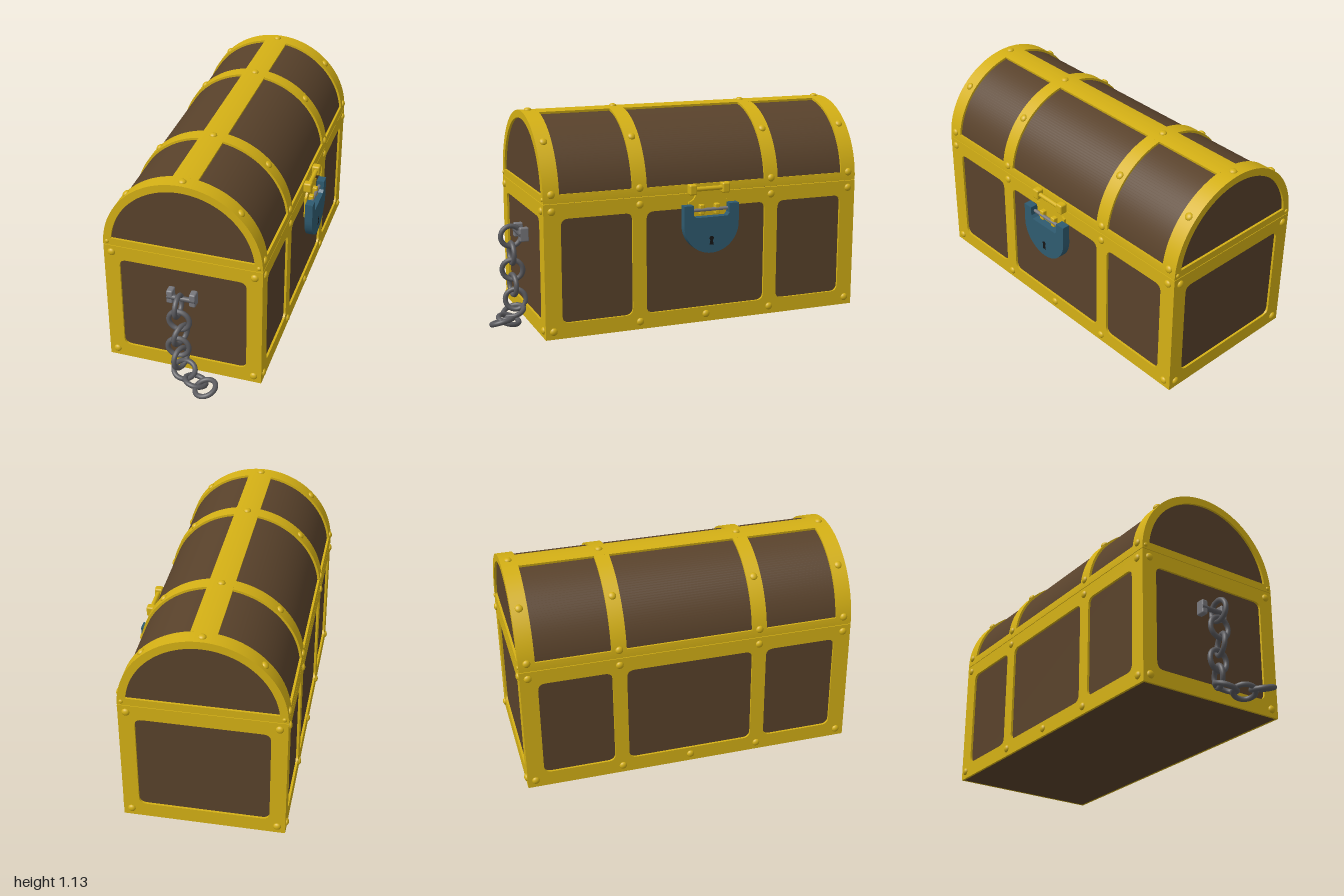
import * as THREE from 'three';
import { toCreasedNormals } from 'three/addons/utils/BufferGeometryUtils.js';
import { RoundedBoxGeometry } from 'three/addons/geometries/RoundedBoxGeometry.js';

const mat = (color) => new THREE.MeshStandardMaterial({ color });
const gold = mat(0xd4b015), wood = mat(0x59422b), blue = mat(0x2f5b70);
const iron = mat(0x5a5a5e), plateGrey = mat(0x77777c), dark = mat(0x151515);

const W = 0.414, L = 0.879, T = 0.012;      // half width, half length, strap thickness
const Y0 = 0.012, SEAM = 0.713, LID = 0.716;
const BANDS = [-0.837, -0.371, 0.371, 0.837];

function add(parent, name, geo, material, x = 0, y = 0, z = 0) {
  const m = new THREE.Mesh(geo, material);
  m.name = name;
  m.position.set(x, y, z);
  parent.add(m);
  return m;
}

const extrude = (shape, depth, curveSegments = 24) => toCreasedNormals(
  new THREE.ExtrudeGeometry(shape, { depth, bevelEnabled: false, curveSegments }), 0.45);

function roundRect(path, x0, y0, x1, y1, r) {
  path.moveTo(x0 + r, y0);
  path.lineTo(x1 - r, y0).quadraticCurveTo(x1, y0, x1, y0 + r);
  path.lineTo(x1, y1 - r).quadraticCurveTo(x1, y1, x1 - r, y1);
  path.lineTo(x0 + r, y1).quadraticCurveTo(x0, y1, x0, y1 - r);
  path.lineTo(x0, y0 + r).quadraticCurveTo(x0, y0, x0 + r, y0);
  return path;
}

// Flat wall strap with rounded windows, given as [from, to] spans
function frame(halfWidth, windows) {
  const s = new THREE.Shape();
  s.moveTo(-halfWidth, Y0);
  s.lineTo(halfWidth, Y0).lineTo(halfWidth, SEAM).lineTo(-halfWidth, SEAM).closePath();
  for (const [a, b] of windows) s.holes.push(roundRect(new THREE.Path(), a, 0.093, b, 0.635, 0.04));
  return extrude(s, T, 6);
}

// Curved strap over the lid
function arch(z0, z1, a0, a1) {
  const s = new THREE.Shape();
  s.absarc(0, 0, W, a0, a1, false);
  s.absarc(0, 0, W - 0.013, a1, a0, true);
  s.closePath();
  return extrude(s, z1 - z0, 36).translate(0, 0, z0);
}

const Z = new THREE.Vector3(0, 0, 1);
function rivet(parent, p, normal, r = 0.02) {
  const m = add(parent, 'rivet', new THREE.SphereGeometry(r, 16, 10), gold, ...p);
  m.quaternion.setFromUnitVectors(Z, new THREE.Vector3(...normal).normalize());
  m.scale.z = 0.65;
}

function makeBody() {
  const g = new THREE.Group();
  g.name = 'body';
  const h = SEAM - Y0;
  add(g, 'woodenBox', new THREE.BoxGeometry(2 * (W - T), h, 2 * (L - T)), wood, 0, Y0 + h / 2, 0);
  for (const s of [-1, 1]) {
    const side = add(g, 'sideFrame', frame(L, [[-0.79, -0.41], [-0.335, 0.335], [0.41, 0.79]]), gold, s * (W - T));
    side.rotation.y = s * Math.PI / 2;
    const end = add(g, 'endFrame', frame(W - T, [[-0.333, 0.333]]), gold, 0, 0, s * (L - T));
    if (s < 0) end.rotation.y = Math.PI;
    for (const z of BANDS) for (const y of [0.053, 0.675]) rivet(g, [s * W, y, z], [s, 0, 0]);
    rivet(g, [s * W, 0.053, 0], [s, 0, 0]);
    for (const x of [-0.373, 0.373]) for (const y of [0.053, 0.675]) rivet(g, [x, y, s * L], [0, 0, s]);
  }
  return g;
}

function makeLid() {
  const g = new THREE.Group();
  g.name = 'lid';
  g.position.y = LID;
  const core = new THREE.Shape();
  core.absarc(0, 0, W - T, 0, Math.PI, false);
  core.closePath();
  add(g, 'woodenVault', extrude(core, 2 * (L - T), 48), wood, 0, 0, -(L - T));
  // Straps along and across the vault
  for (const z of BANDS) {
    const hw = Math.abs(z) > 0.5 ? 0.042 : 0.039;
    add(g, 'archStrap', arch(z - hw, z + hw, 0, Math.PI), gold);
    for (const a of [0.109, Math.PI / 4, Math.PI / 2, Math.PI * 0.75, Math.PI - 0.109]) {
      const c = Math.cos(a), s = Math.sin(a);
      rivet(g, [W * c, W * s, z], [c, s, 0]);
    }
  }
  const ends = L - 0.08;
  for (const [a0, a1] of [[0, 0.107], [Math.PI / 2 - 0.157, Math.PI / 2 + 0.157], [Math.PI - 0.107, Math.PI]])
    add(g, 'lengthStrap', arch(-ends, ends, a0, a1), gold);
  // End arches with a half-round window
  const r = 0.374, a = Math.asin(0.04 / r);
  const rim = new THREE.Shape();
  rim.absarc(0, 0, W - 0.0125, 0, Math.PI, false);
  rim.closePath();
  const win = new THREE.Path();
  win.absarc(0, 0, r, a, Math.PI - a, false);
  win.closePath();
  rim.holes.push(win);
  for (const s of [-1, 1]) {
    add(g, 'endArch', extrude(rim, T, 36), gold, 0, 0, s > 0 ? L - T : -L);
    for (const x of [-0.394, 0.394]) rivet(g, [x, 0.02, s * L], [0, 0, s], 0.011);
  }
  return g;
}

// Built facing +z, then turned to face +x
function makeLock() {
  const g = new THREE.Group();
  g.name = 'lock';
  g.position.x = W;
  g.rotation.y = Math.PI / 2;
  for (const s of [-1, 1]) {
    add(g, 'haspBlock', new RoundedBoxGeometry(0.042, 0.055, 0.044, 2, 0.009), gold, s * 0.092, 0.737, 0.022);
    add(g, 'haspKnuckle', new RoundedBoxGeometry(0.028, 0.055, 0.03, 2, 0.006), gold, s * 0.043, 0.63, 0.03);
  }
  const bar = (name, len, r, y, z, m) =>
    add(g, name, new THREE.CylinderGeometry(r, r, len, 16).rotateZ(Math.PI / 2), m, 0, y, z);
  bar('haspRod', 0.16, 0.012, 0.737, 0.024, gold);
  bar('lockPin', 0.2, 0.009, 0.63, 0.04, plateGrey);
  // Hasp plate with flared, curved shoulders
  const p = new THREE.Shape();
  p.moveTo(-0.11, 0.55);
  p.lineTo(0.11, 0.55).lineTo(0.11, 0.67).quadraticCurveTo(0.07, 0.68, 0.068, 0.725);
  p.lineTo(-0.068, 0.725).quadraticCurveTo(-0.07, 0.68, -0.11, 0.67).closePath();
  add(g, 'haspPlate', extrude(p, 0.012), gold, 0, 0, 0.008);
  // Notched, round-bottomed padlock
  const b = new THREE.Shape();
  b.moveTo(-0.153, 0.66);
  b.lineTo(-0.153, 0.557);
  b.absarc(0, 0.557, 0.153, Math.PI, 2 * Math.PI, false);
  b.lineTo(0.153, 0.66).lineTo(0.1, 0.66).lineTo(0.1, 0.61).lineTo(0.088, 0.595);
  b.lineTo(-0.088, 0.595).lineTo(-0.1, 0.61).lineTo(-0.1, 0.66).closePath();
  add(g, 'padlock', extrude(b, 0.042, 32), blue, 0, 0, 0.024);
  const k = new THREE.Shape();
  k.moveTo(-0.012, 0.448);
  k.lineTo(0.012, 0.448).lineTo(0.005, 0.475);
  k.absarc(0, 0.482, 0.012, -0.9, Math.PI + 0.9, false);
  k.closePath();
  add(g, 'keyhole', extrude(k, 0.002), dark, 0, 0, 0.065);
  return g;
}

function makeChain() {
  const g = new THREE.Group();
  g.name = 'chain';
  for (const x of [-0.088, 0.032])
    add(g, 'bracket', new RoundedBoxGeometry(0.034, 0.076, 0.05, 2, 0.008), plateGrey, x, 0.485, 0.777);
  add(g, 'bracketBar', new THREE.CylinderGeometry(0.014, 0.014, 0.15, 16).rotateZ(Math.PI / 2), iron, -0.028, 0.483, 0.79);
  // Each link: centre, then the axis of its ring
  const links = [
    [[-0.03, 0.466, 0.832], [1, 0, 0]],
    [[-0.028, 0.374, 0.83], [0, 0, 1]],
    [[-0.022, 0.285, 0.83], [1, -0.1, 0.35]],
    [[-0.038, 0.197, 0.825], [0.1, 0, 1]],
    [[-0.032, 0.117, 0.815], [1, 0.1, 0.35]],
    [[-0.005, 0.062, 0.835], [0.2, 1, 0.3]],
    [[0.07, 0.042, 0.88], [0.2, 1, -0.25]],
    [[0.14, 0.058, 0.932], [-0.28, 1, 0.2]],
  ];
  for (const [c, n] of links) {
    const m = add(g, 'link', new THREE.TorusGeometry(0.055, 0.0135, 12, 32), iron, ...c);
    m.quaternion.setFromUnitVectors(Z, new THREE.Vector3(...n).normalize());
  }
  return g;
}

export function createModel() {
  const model = new THREE.Group();
  model.name = 'treasureChest';
  const chest = new THREE.Group();
  chest.name = 'chest';
  chest.position.set(-0.028, 0, -0.1125);
  chest.add(makeBody(), makeLid(), makeLock());
  model.add(chest, makeChain());
  return model;
}
